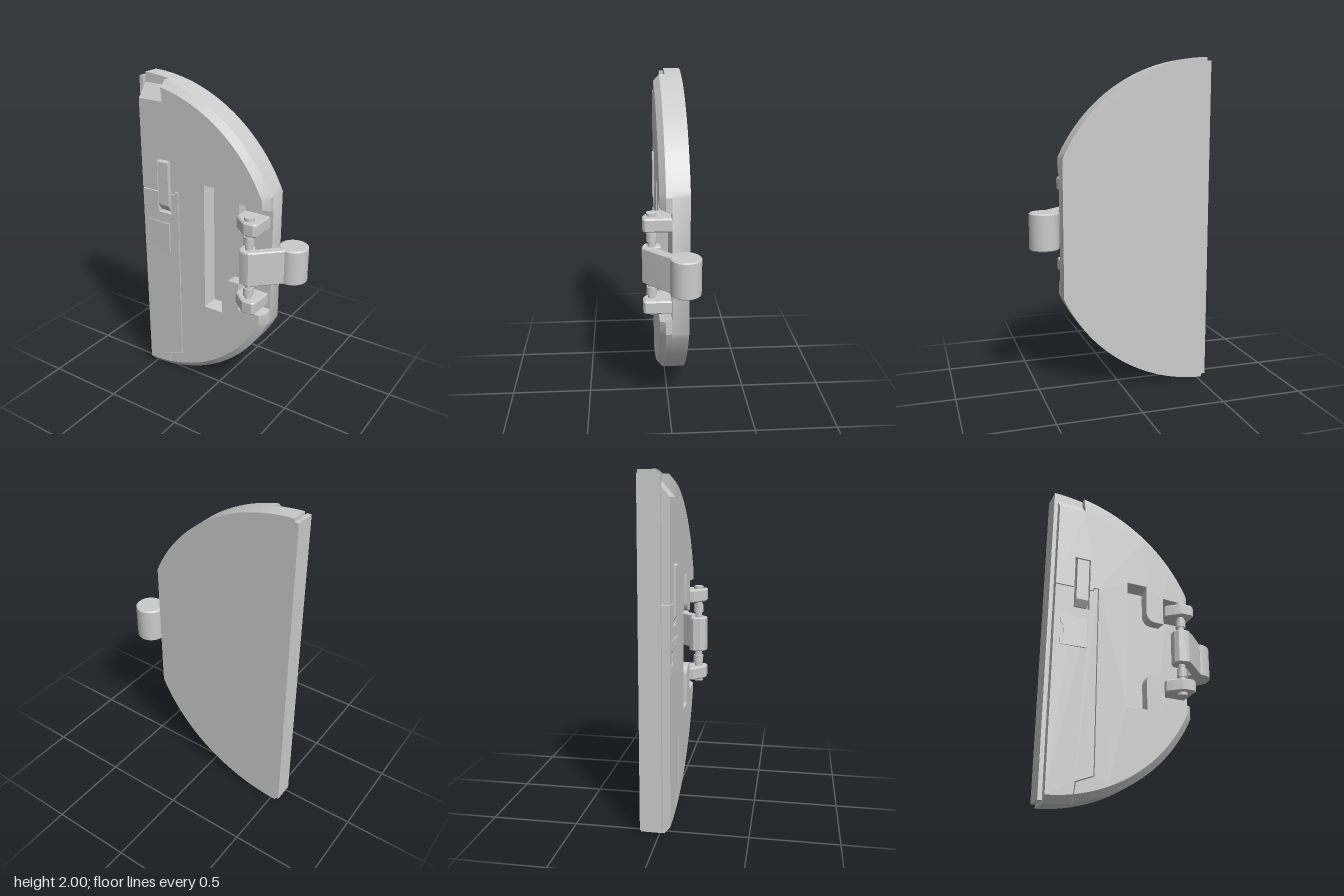
import * as THREE from 'three';
import { toCreasedNormals } from 'three/addons/utils/BufferGeometryUtils.js';

const CX = -0.55, R = 1, FLOOR = -0.01, FRONT = 0.06;
const arcY = (x) => Math.sqrt(R * R - (x - CX) ** 2); // half height of the disc at x

// Points along the curved rim between two x positions; side is +1 (top) or -1 (bottom)
function rim(xa, xb, side, n = 28) {
  const a = Math.acos((xa - CX) / R), b = Math.acos((xb - CX) / R), pts = [];
  for (let i = 0; i <= n; i++) {
    const t = a + (b - a) * i / n;
    pts.push([CX + R * Math.cos(t), 1 + side * R * Math.sin(t)]);
  }
  return pts;
}

const toShape = (pts) => new THREE.Shape(pts.map(([x, y]) => new THREE.Vector2(x, y)));

export function createModel() {
  const group = new THREE.Group();
  const material = new THREE.MeshStandardMaterial({ color: 0xcccccc });

  const add = (name, geo, crease = 0.5) => {
    const mesh = new THREE.Mesh(toCreasedNormals(geo, crease), material);
    mesh.name = name;
    group.add(mesh);
    return mesh;
  };
  const box = (name, x0, x1, y0, y1, z0, z1) =>
    add(name, new THREE.BoxGeometry(x1 - x0, y1 - y0, z1 - z0)
      .translate((x0 + x1) / 2, (y0 + y1) / 2, (z0 + z1) / 2));
  // Extrude an outline in (x, y) from z0 to z1
  const slab = (pts, z0, z1, steps = 1) =>
    new THREE.ExtrudeGeometry(toShape(pts), { depth: z1 - z0, steps, bevelEnabled: false }).translate(0, 0, z0);
  // Extrude an outline given as (x, z) upwards, with a small bevel
  const upright = (pts, y0, y1, bevel = 0.008) =>
    new THREE.ExtrudeGeometry(toShape(pts.map(([x, z]) => [x, -z])), {
      depth: y1 - y0 - 2 * bevel, bevelEnabled: true, bevelThickness: bevel,
      bevelSize: bevel, bevelOffset: -bevel, bevelSegments: 1,
    }).rotateX(-Math.PI / 2).translate(0, y0 + bevel, 0);
  const rod = (name, x, z, r, y0, y1) =>
    add(name, new THREE.CylinderGeometry(r, r, y1 - y0, 32).translate(x, (y0 + y1) / 2, z));

  // Chamfers the rim and slopes the recess walls towards the front
  const shapeFront = (geo) => {
    const p = geo.attributes.position;
    for (let i = 0; i < p.count; i++) {
      let x = p.getX(i), y = p.getY(i);
      const z = p.getZ(i), t = (z - FLOOR) / (FRONT - FLOOR);
      const dy = Math.abs(y - 1), s = Math.sign(y - 1);
      if (Math.abs(dy - 0.32) < 0.001 && x > 0.17) y += s * 0.03 * t;
      if (Math.abs(dy - 0.38) < 0.001 && x > -0.05 && x < 0.07) {
        y += s * 0.03 * t;
        if (x < 0) x -= 0.025 * t;
      }
      if (z > FRONT - 0.001) {
        const d = Math.hypot(x - CX, y - 1), inner = R - 0.04;
        if (d > inner) {
          x = CX + (x - CX) * inner / d;
          y = 1 + (y - 1) * inner / d;
        }
        x = Math.min(x, 0.325);
      }
      p.setXY(i, Math.max(x, -0.53), y);
    }
    return geo;
  };

  // Half-disc back plate and the strip along its straight edge
  add('backPlate', slab([...rim(-0.53, 0.36, -1), ...rim(0.36, -0.53, 1)], -0.11, FLOOR));
  box('edgeStrip', -0.555, -0.53, 0.02, 1.98, -0.11, 0.015);

  // Front plate, cut out for the hatch panel, latch, lever recess and top notch
  const corner = [0, 1, 2, 3, 4, 5, 6].map((i) => {
    const a = i / 6 * Math.PI / 2;
    return [0.12 - 0.06 * Math.sin(a), 0.77 + 0.06 * Math.cos(a)];
  });
  const recess = [[0.36, 0.68], [0.175, 0.68], [0.175, 0.83], ...corner, [0.06, 0.62], [-0.045, 0.62]];
  const mirrored = recess.map(([x, y]) => [x, 2 - y]).reverse();
  add('frontPlate', shapeFront(slab([
    [-0.53, 1.303], [-0.415, 1.303], [-0.415, 1.51], [-0.315, 1.51], [-0.315, 1.303],
    [-0.295, 1.303], [-0.29, 1.323], [-0.257, 1.323], [-0.257, 0.163], [-0.362, 0.122],
    ...rim(-0.362, 0.36, -1), ...recess, ...mirrored, ...rim(0.36, -0.36, 1),
    [-0.36, 1.86], [-0.53, 1.86],
  ], FLOOR, FRONT, 2)), 0.4);

  // Hatch panel with a fine seam around it
  add('hatchPanel', shapeFront(slab([
    [-0.53, 1.297], [-0.415, 1.297], [-0.415, 1.165], [-0.315, 1.165], [-0.315, 1.297],
    [-0.29, 1.297], [-0.285, 1.317], [-0.263, 1.317], [-0.263, 0.167], [-0.368, 0.126],
    ...rim(-0.368, -0.53, -1, 6),
  ], FLOOR, FRONT, 2)), 0.4);

  // Ramp in the top notch
  add('notchRamp', new THREE.ExtrudeGeometry(
    toShape([[-FRONT, 1.86], [-FLOOR, 1.94], [-FLOOR, 1.86]]), { depth: 0.17, bevelEnabled: false })
    .rotateY(Math.PI / 2).translate(-0.53, 0, 0));

  // Latch bar with a sloped lower end, and its sunken base
  box('latchBase', -0.415, -0.315, 1.165, 1.51, FLOOR, 0.025);
  add('latchBar', new THREE.ExtrudeGeometry(
    toShape([[0, 1.18], [-0.045, 1.18], [-0.07, 1.22], [-0.07, 1.495], [-0.06, 1.502], [0, 1.502]]),
    { depth: 0.075, bevelEnabled: false }).rotateY(Math.PI / 2).translate(-0.4025, 0, 0));

  // Thumb tab rising gently to the right
  const tab = slab([[-0.49, 0.91], [-0.33, 0.91], [-0.33, 1.1], [-0.49, 1.1],
    [-0.49, 1.05], [-0.472, 1.035], [-0.472, 0.975], [-0.49, 0.96]], 0.05, 0.07);
  const tp = tab.attributes.position;
  for (let i = 0; i < tp.count; i++) {
    if (tp.getZ(i) > 0.06) tp.setZ(i, 0.064 + 0.006 * (tp.getX(i) + 0.49) / 0.16);
  }
  add('thumbTab', tab, 0.2);

  // Hinge brackets, pins and collars, mirrored above and below the lever
  const bracket = [[0.175, FLOOR], [0.175, 0.085], [0.25, 0.148], [0.265, 0.155],
    [0.325, 0.155], [0.342, 0.142], [0.342, FLOOR]];
  const PX = 0.272, PZ = 0.103;
  for (const side of [1, -1]) {
    const span = (a, b) => side > 0 ? [1 + a, 1 + b] : [1 - b, 1 - a];
    add('hingeBracket', upright(bracket, ...span(0.21, 0.29)), 0.3);
    rod('hingePin', PX, PZ, 0.03, ...span(0.28, 0.308));
    rod('hingeSpindle', PX, PZ, 0.022, ...span(0.1, 0.22));
    rod('hingeCollar', PX, PZ, 0.031, ...span(0.14, 0.19));
  }

  // Lever: rounded hub, slanted arm and cylindrical grip
  add('leverArm', upright([[0.217, 0.075], [0.217, 0.12], [0.235, 0.148], [0.275, 0.159],
    [0.3, 0.157], [0.345, 0.118], [0.48, -0.015], [0.44, -0.055], [0.3, 0.087], [0.285, 0.05], [0.24, 0.05]],
  0.892, 1.108, 0.006), 0.4);
  const gripProfile = [[0, -0.11], [0.08, -0.11], [0.088, -0.103], [0.088, 0.103], [0.08, 0.11], [0, 0.11]];
  add('leverGrip', new THREE.LatheGeometry(gripProfile.map(([x, y]) => new THREE.Vector2(x, y)), 48)
    .translate(0.466, 1, -0.077));

  return group;
}
